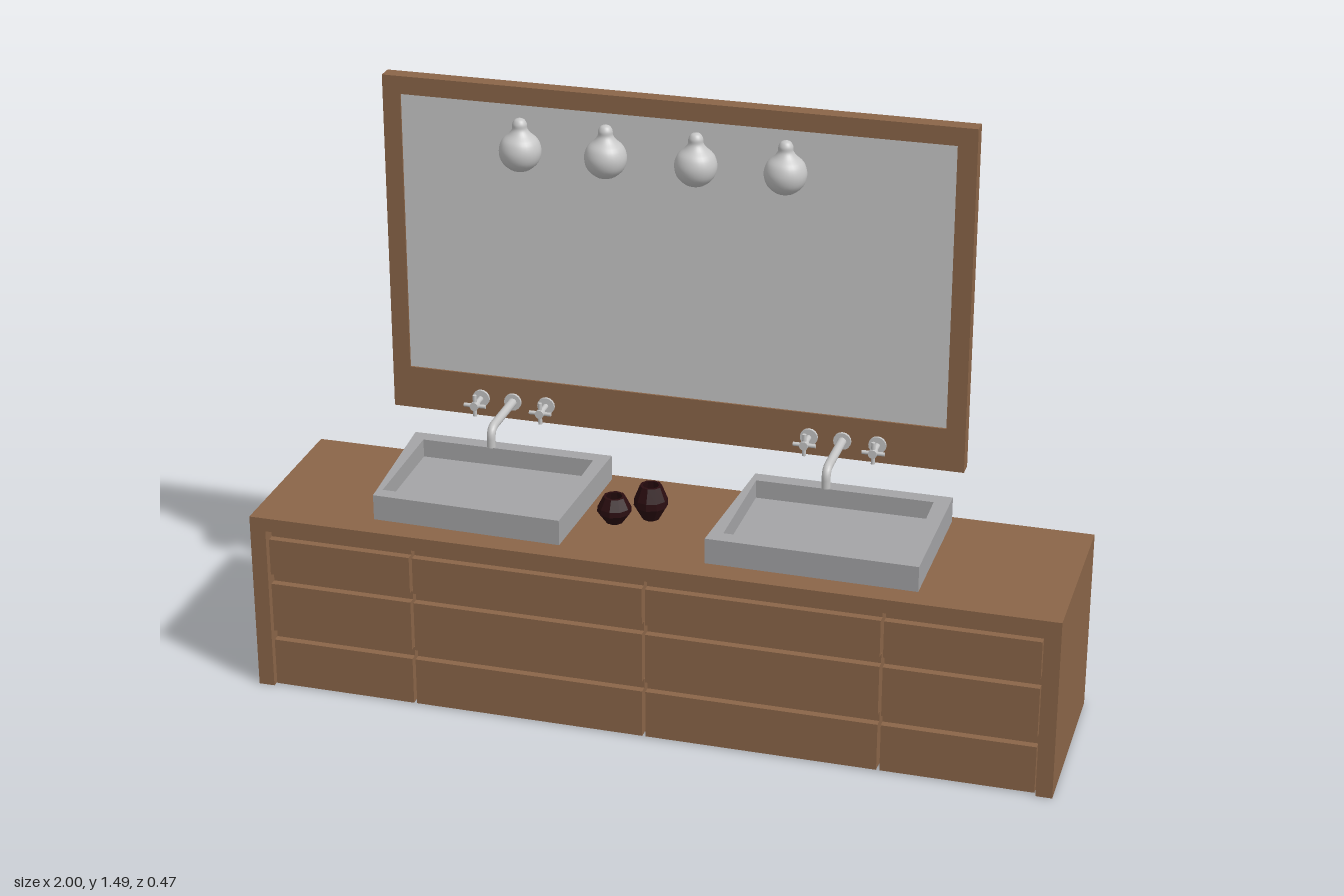
import * as THREE from 'three';

const mat = (name, color, extra = {}) => Object.assign(new THREE.MeshStandardMaterial({ color, ...extra }), { name });

export function createModel() {
  const root = new THREE.Group();
  root.name = 'doubleVanity';
  const wood = mat('wood', 0x8b6548);
  const glass = mat('mirrorGlass', 0xc8c8c8);
  const stone = mat('basinStone', 0xa4a4a6);
  const metal = mat('metal', 0xc6c6c6);
  const dark = mat('darkVase', 0x2a0d10);
  dark.flatShading = true;
  dark.side = THREE.DoubleSide;

  const add = (name, geo, material, parent = root) => {
    const m = new THREE.Mesh(geo, material);
    m.name = name;
    parent.add(m);
    return m;
  };
  // box given by its extents
  const box = (name, x0, x1, y0, y1, z0, z1, material, parent) => {
    const m = add(name, new THREE.BoxGeometry(x1 - x0, y1 - y0, z1 - z0), material, parent);
    m.position.set((x0 + x1) / 2, (y0 + y1) / 2, (z0 + z1) / 2);
    return m;
  };
  const group = (name) => {
    const g = new THREE.Group();
    g.name = name;
    root.add(g);
    return g;
  };
  const outline = (pts) => pts.map(([x, y]) => new THREE.Vector2(x, y));

  // Countertop and end panels
  box('countertop', -1, 1, 0.43, 0.465, -0.235, 0.235, wood);
  box('endPanelRight', -1, -0.96, 0, 0.43, -0.235, 0.235, wood);
  box('endPanelLeft', 0.96, 1, 0, 0.43, -0.235, 0.235, wood);

  // Four cabinet bays, open at the back, with thin gaps between them
  const bays = [-0.96, -0.588, 0, 0.58, 0.96];
  const rows = [0.003, 0.152, 0.308, 0.43];
  for (let i = 0; i < 4; i++) {
    const bay = group('cabinetBay' + (i + 1));
    const a = bays[i] + 0.004, b = bays[i + 1] - 0.004, back = -0.215;
    for (const x of [a, b - 0.008]) box('bayWall', x, x + 0.008, 0, 0.43, back, 0.2, wood, bay);
    box('bayFloor', a, b, 0, 0.008, back, 0.2, wood, bay);
    box('backRail', a, b, 0.315, 0.43, back, back + 0.012, wood, bay);
    for (let r = 0; r < 3; r++) {
      const y0 = rows[r], y1 = rows[r + 1];
      if (r) box('shelf', a, b, y0 - 0.004, y0 + 0.004, back, 0.2, wood, bay);
      // drawer front with a recessed finger grip above it
      box('drawerFront', a, b, y0, y1 - 0.026, 0.2, 0.226, wood, bay);
      box('gripRecess', a, b, y1 - 0.03, y1 - 0.002, 0.19, 0.207, wood, bay);
    }
  }

  // Mirror frame with the glass showing on both sides
  const frame = new THREE.Shape(outline([[-0.77, 0.615], [0.685, 0.615], [0.685, 1.485], [-0.77, 1.485]]));
  frame.holes.push(new THREE.Path(outline([[-0.725, 0.725], [-0.725, 1.44], [0.638, 1.44], [0.638, 0.725]])));
  add('mirrorFrame', new THREE.ExtrudeGeometry(frame, { depth: 0.04, bevelEnabled: false }), wood)
    .position.z = -0.217;
  box('mirrorGlass', -0.725, 0.638, 0.725, 1.44, -0.201, -0.182, glass);

  // Basins: outer corners as x, z from back left, anticlockwise seen from above
  const basin = (outer, inner) => {
    const g = group('basin');
    const flip = (pts) => outline(pts.map(([x, z]) => [x, -z]));
    const rim = new THREE.Shape(flip(outer));
    rim.holes.push(new THREE.Path(flip(inner)));
    const extrude = (shape, depth) =>
      new THREE.ExtrudeGeometry(shape, { depth, bevelEnabled: false }).rotateX(-Math.PI / 2).translate(0, 0.465, 0);
    add('basinRim', extrude(rim, 0.065), stone, g);
    add('basinFloor', extrude(new THREE.Shape(flip(inner)), 0.018), stone, g);
  };
  basin([[-0.73, -0.21], [-0.702, 0.165], [-0.225, 0.175], [-0.21, -0.21]],
    [[-0.695, -0.172], [-0.69, 0.13], [-0.25, 0.135], [-0.247, -0.172]]);
  basin([[0.16, -0.21], [0.135, 0.17], [0.652, 0.175], [0.655, -0.21]],
    [[0.172, -0.172], [0.17, 0.13], [0.618, 0.135], [0.615, -0.172]]);

  // Wall taps: bent spout and two cross handles
  for (const x of [-0.455, 0.385]) {
    const tap = group('tap');
    tap.position.set(x, 0.663, 0);
    const path = new THREE.CurvePath();
    const v = (y, z) => new THREE.Vector3(0, y, z);
    path.add(new THREE.LineCurve3(v(0, -0.18), v(0, -0.035)));
    path.add(new THREE.QuadraticBezierCurve3(v(0, -0.035), v(0, -0.007), v(-0.026, -0.007)));
    path.add(new THREE.LineCurve3(v(-0.026, -0.007), v(-0.048, -0.007)));
    add('spout', new THREE.TubeGeometry(path, 40, 0.011, 12), metal, tap);
    const tip = add('spoutTip', new THREE.CircleGeometry(0.011, 12).rotateX(Math.PI / 2), metal, tap);
    tip.position.set(0, -0.048, -0.007);
    const rod = (name, r, z0, z1, hx) => {
      const m = add(name, new THREE.CylinderGeometry(r, r, z1 - z0, 16).rotateX(Math.PI / 2), metal, tap);
      m.position.set(hx, 0, (z0 + z1) / 2);
    };
    rod('spoutFlange', 0.022, -0.178, -0.17, 0);
    for (const hx of [-0.083, 0.087]) {
      rod('handleFlange', 0.022, -0.178, -0.17, hx);
      rod('handleStem', 0.007, -0.175, -0.117, hx);
      rod('handleHub', 0.011, -0.134, -0.117, hx);
      for (const turn of [0, Math.PI / 2]) {
        const arm = add('handleArm', new THREE.CylinderGeometry(0.005, 0.005, 0.056, 10), metal, tap);
        arm.rotation.z = turn;
        arm.position.set(hx, 0, -0.126);
      }
    }
  }

  // Hanging globe lamps with a short domed neck
  const globe = new THREE.SplineCurve(outline([
    [0, -0.05], [0.022, -0.045], [0.043, -0.026], [0.05, 0], [0.043, 0.025], [0.026, 0.042],
    [0.018, 0.054], [0.017, 0.066], [0.011, 0.076], [0, 0.08]])).getPoints(36);
  globe.forEach((p) => { p.x = Math.max(p.x, 0); });
  const lamps = [[-0.355, 0.022], [-0.15, 0.013], [0.065, 0.008], [0.276, 0.003]];
  for (const [x, z] of lamps) {
    add('globeLamp', new THREE.LatheGeometry(globe, 28), metal).position.set(x, 1.4, z);
  }

  // Two faceted vases
  const vase = (x, z, h) => {
    const profile = outline([[0.022, 0], [0.042, h * 0.4], [0.041, h * 0.6], [0.027, h], [0.02, h], [0.032, h * 0.5], [0.018, 0.004]]);
    add('vase', new THREE.LatheGeometry(profile, 10), dark).position.set(x, 0.466, z);
  };
  vase(-0.135, 0.015, 0.068);
  vase(-0.055, -0.028, 0.088);

  return root;
}
